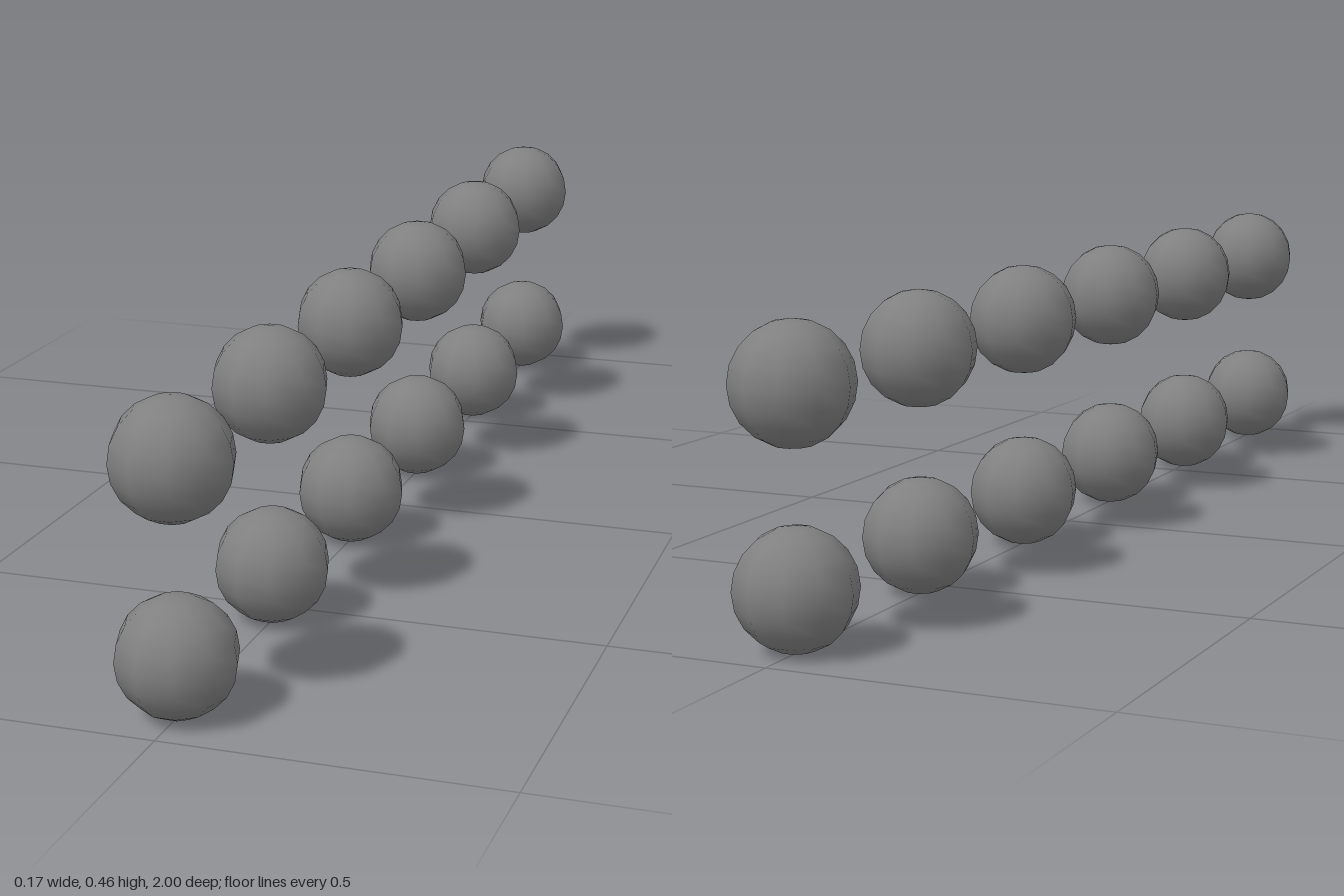
import * as THREE from 'three';

export function createModel() {
  const model = new THREE.Group();
  model.name = 'ballRows';

  const grey = new THREE.MeshStandardMaterial({ color: 0x808080 });
  grey.name = 'grey';

  const radius = 0.0875;
  const columns = 6;
  const spacing = 0.3667;
  const rows = [['lower', radius], ['upper', radius + 0.28]];
  const ball = new THREE.SphereGeometry(radius, 10, 10);

  // Two rows of balls running front to back
  for (const [rowName, y] of rows) {
    const row = new THREE.Group();
    row.name = rowName + 'Row';
    for (let i = 0; i < columns; i++) {
      const mesh = new THREE.Mesh(ball, grey);
      mesh.name = rowName + 'Ball' + (i + 1);
      mesh.position.set(0, y, ((columns - 1) / 2 - i) * spacing);
      row.add(mesh);
    }
    model.add(row);
  }
  return model;
}
